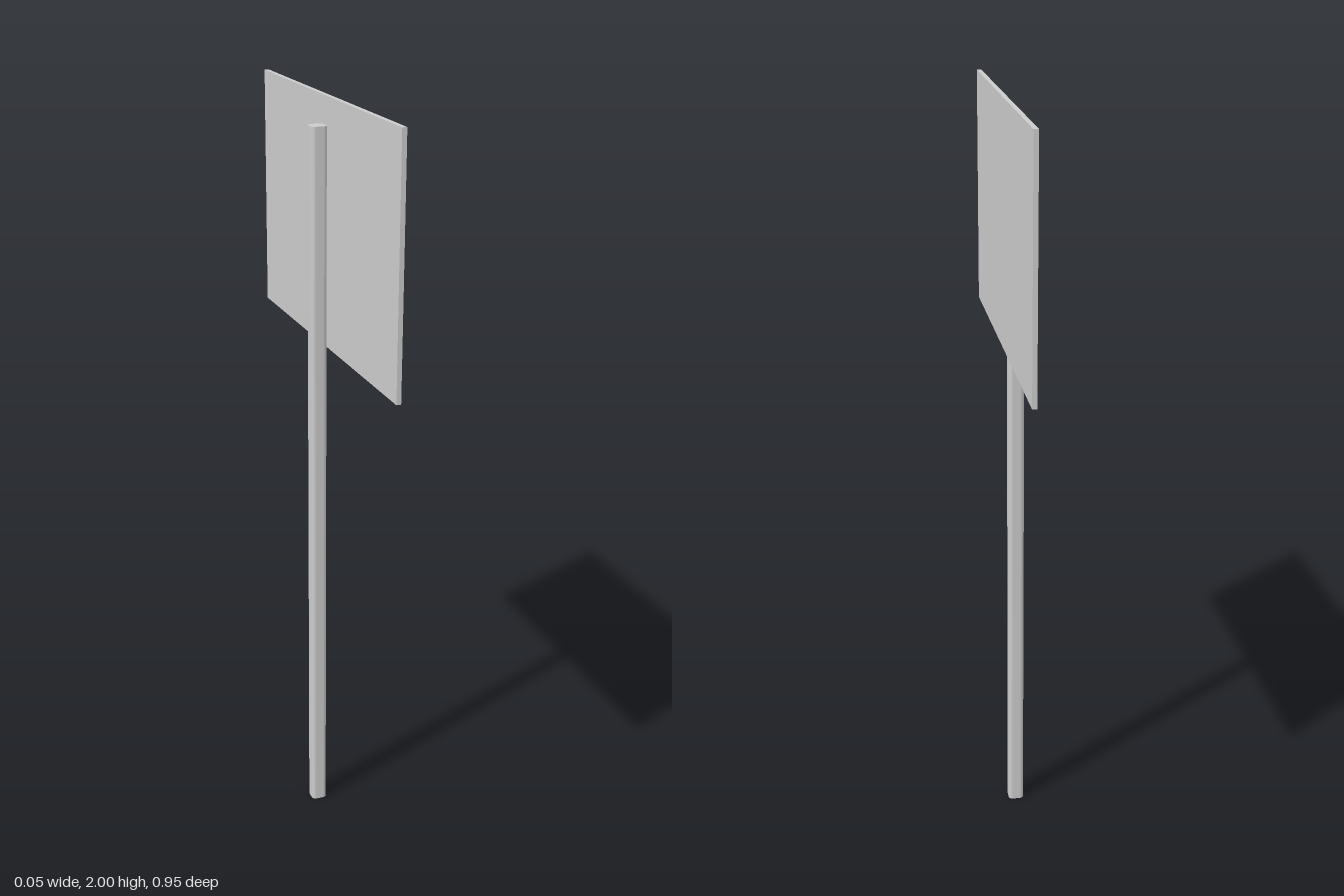
import * as THREE from 'three';

// Square outline with rounded corners, centred on the origin
function roundedSquare(half, r) {
  const s = new THREE.Shape();
  const c = half - r;
  [[c, c], [-c, c], [-c, -c], [c, -c]].forEach(([x, y], i) => {
    s.absarc(x, y, r, i * Math.PI / 2, (i + 1) * Math.PI / 2, false);
  });
  s.closePath();
  return s;
}

export function createModel() {
  const model = new THREE.Group();
  model.name = 'signpost';
  const material = new THREE.MeshStandardMaterial({ color: 0xcccccc, flatShading: true });

  // Upright post with rounded corners
  const postGeometry = new THREE.ExtrudeGeometry(roundedSquare(0.021, 0.011), {
    depth: 1.93, bevelEnabled: false, curveSegments: 3,
  });
  postGeometry.rotateX(-Math.PI / 2);
  const post = new THREE.Mesh(postGeometry, material);
  post.name = 'post';
  post.position.x = -0.007;
  model.add(post);

  // Thin rectangular panel fixed to the left side of the post
  const panel = new THREE.Mesh(new THREE.BoxGeometry(0.012, 0.632, 0.95), material);
  panel.name = 'signPanel';
  panel.position.set(0.021, 1.684, 0);
  model.add(panel);

  return model;
}
